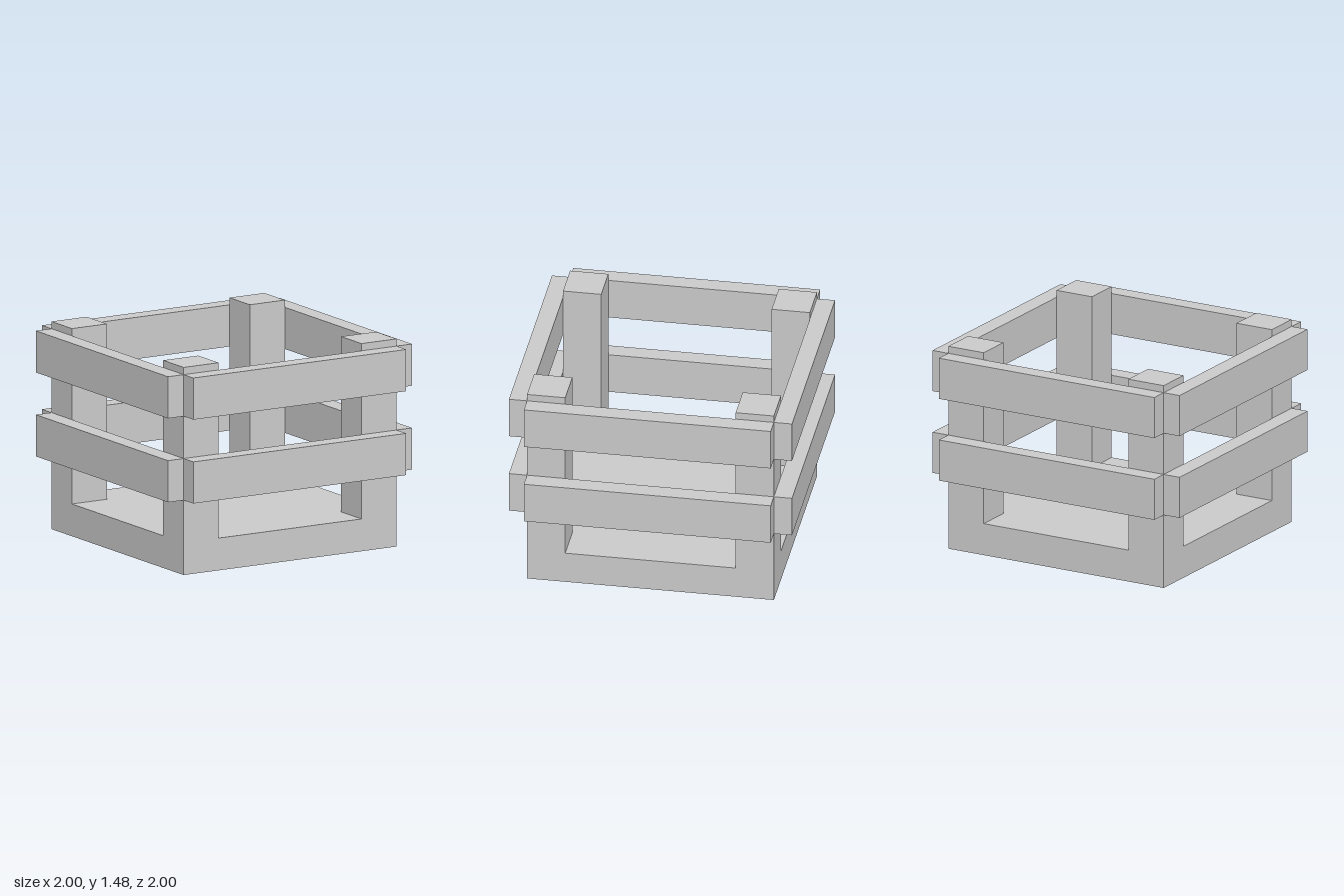
import * as THREE from 'three';

export function createModel() {
  const crate = new THREE.Group();
  crate.name = 'crate';
  const material = new THREE.MeshStandardMaterial({ color: 0xcccccc, flatShading: true });

  const half = 0.872; // half width of the base
  const baseTop = 0.23;
  const postTop = 1.48;
  const slatHeight = 0.297;
  const slatDepth = 1 - half;

  function addBox(name, w, h, d, x, y, z) {
    const mesh = new THREE.Mesh(new THREE.BoxGeometry(w, h, d), material);
    mesh.name = name;
    mesh.position.set(x, y, z);
    crate.add(mesh);
  }

  // Solid floor slab
  addBox('base', 2 * half, baseTop, 2 * half, 0, baseTop / 2, 0);

  // Corner posts standing on the slab
  const postW = 0.287, postD = 0.27, postH = postTop - baseTop;
  for (const sx of [-1, 1]) {
    for (const sz of [-1, 1]) {
      const name = (sz > 0 ? 'front' : 'back') + (sx > 0 ? 'Left' : 'Right') + 'Post';
      addBox(name, postW, postH, postD,
        sx * (half - postW / 2), baseTop + postH / 2, sz * (half - postD / 2));
    }
  }

  // Two rows of slats fixed to the outside of the posts
  const offset = half + slatDepth / 2;
  for (const [row, y] of [['lower', 0.682], ['upper', 1.28]]) {
    for (const s of [-1, 1]) {
      addBox(row + (s > 0 ? 'Front' : 'Back') + 'Slat', 2 * half, slatHeight, slatDepth, 0, y, s * offset);
      addBox(row + (s > 0 ? 'Left' : 'Right') + 'Slat', slatDepth, slatHeight, 2 * half, s * offset, y, 0);
    }
  }

  return crate;
}
